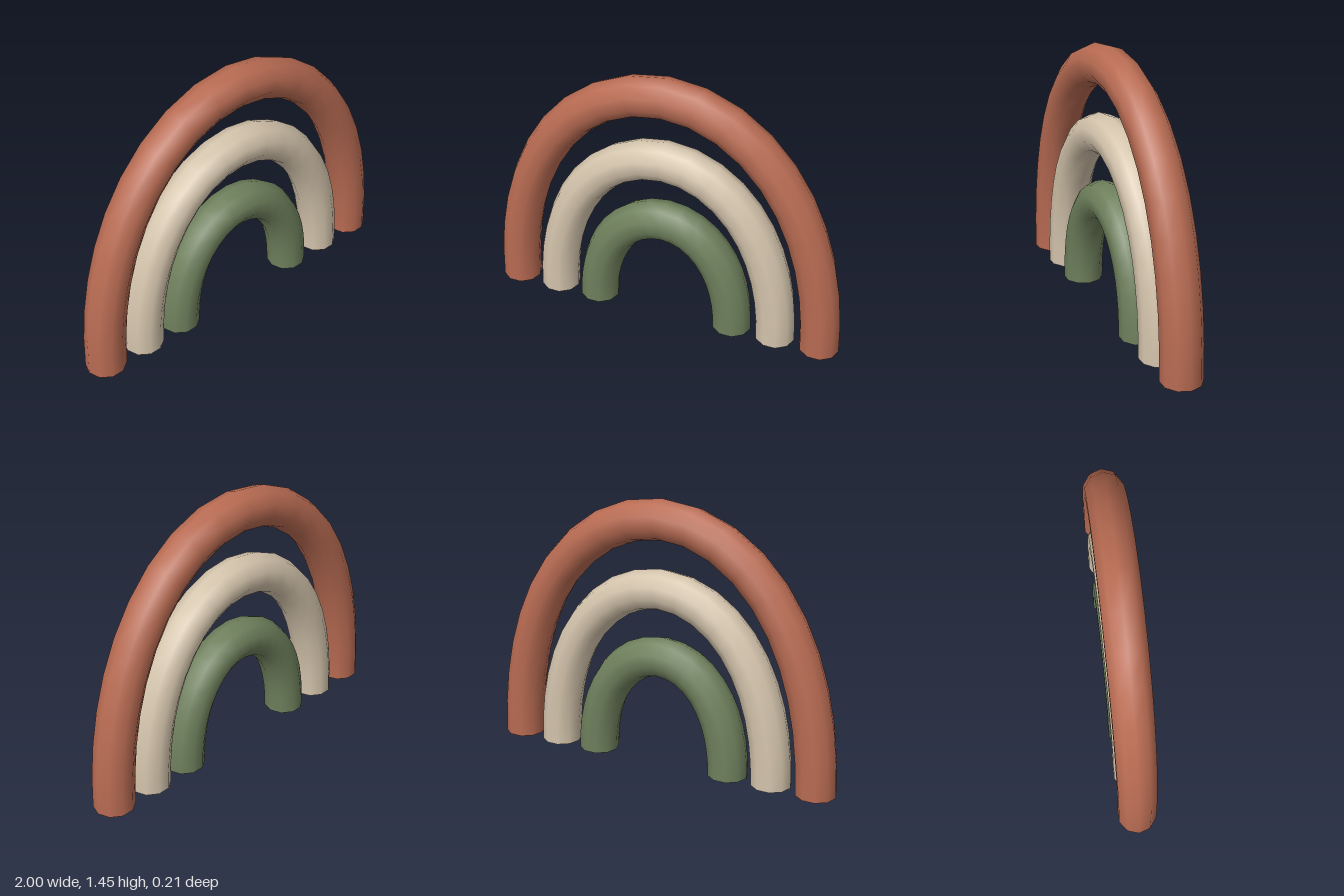
import * as THREE from 'three';

const SIDES = 10, SEGMENTS = 20, RADIUS = 0.1089;

// Arch centre line: a single cubic curve rising vertically from both feet
function archCurve(a) {
  const curve = new THREE.CubicBezierCurve3(
    new THREE.Vector3(-a, 0, 0),
    new THREE.Vector3(-a, 2 * a, 0),
    new THREE.Vector3(a, 2 * a, 0),
    new THREE.Vector3(a, 0, 0)
  );
  // Turn the cross-section a quarter so a ridge runs along the outer edge
  const frames = curve.computeFrenetFrames.bind(curve);
  curve.computeFrenetFrames = (n, closed) => {
    const f = frames(n, closed);
    return {
      tangents: f.tangents,
      normals: f.binormals,
      binormals: f.normals.map((v) => v.clone().negate()),
    };
  };
  return curve;
}

function makeArch(name, a, material) {
  const arch = new THREE.Group();
  arch.name = name;

  const tube = new THREE.Mesh(
    new THREE.TubeGeometry(archCurve(a), SEGMENTS, RADIUS, SIDES, false), material);
  tube.name = name + 'Tube';
  arch.add(tube);

  // Flat feet closing the ends
  for (const side of [-1, 1]) {
    const foot = new THREE.Mesh(
      new THREE.CircleGeometry(RADIUS, SIDES, side < 0 ? 0 : Math.PI).rotateX(Math.PI / 2), material);
    foot.position.x = side * a;
    foot.name = name + (side < 0 ? 'RightFoot' : 'LeftFoot');
    arch.add(foot);
  }
  return arch;
}

export function createModel() {
  const model = new THREE.Group();
  model.name = 'rainbowArches';

  const arches = [
    ['outerArch', 0.8911, 'terracotta', 0xb86b52],
    ['middleArch', 0.6436, 'sand', 0xd4c4ac],
    ['innerArch', 0.396, 'sageGreen', 0x6e805c],
  ];
  for (const [name, halfWidth, colorName, color] of arches) {
    const material = new THREE.MeshStandardMaterial({ color });
    material.name = colorName;
    model.add(makeArch(name, halfWidth, material));
  }
  return model;
}
